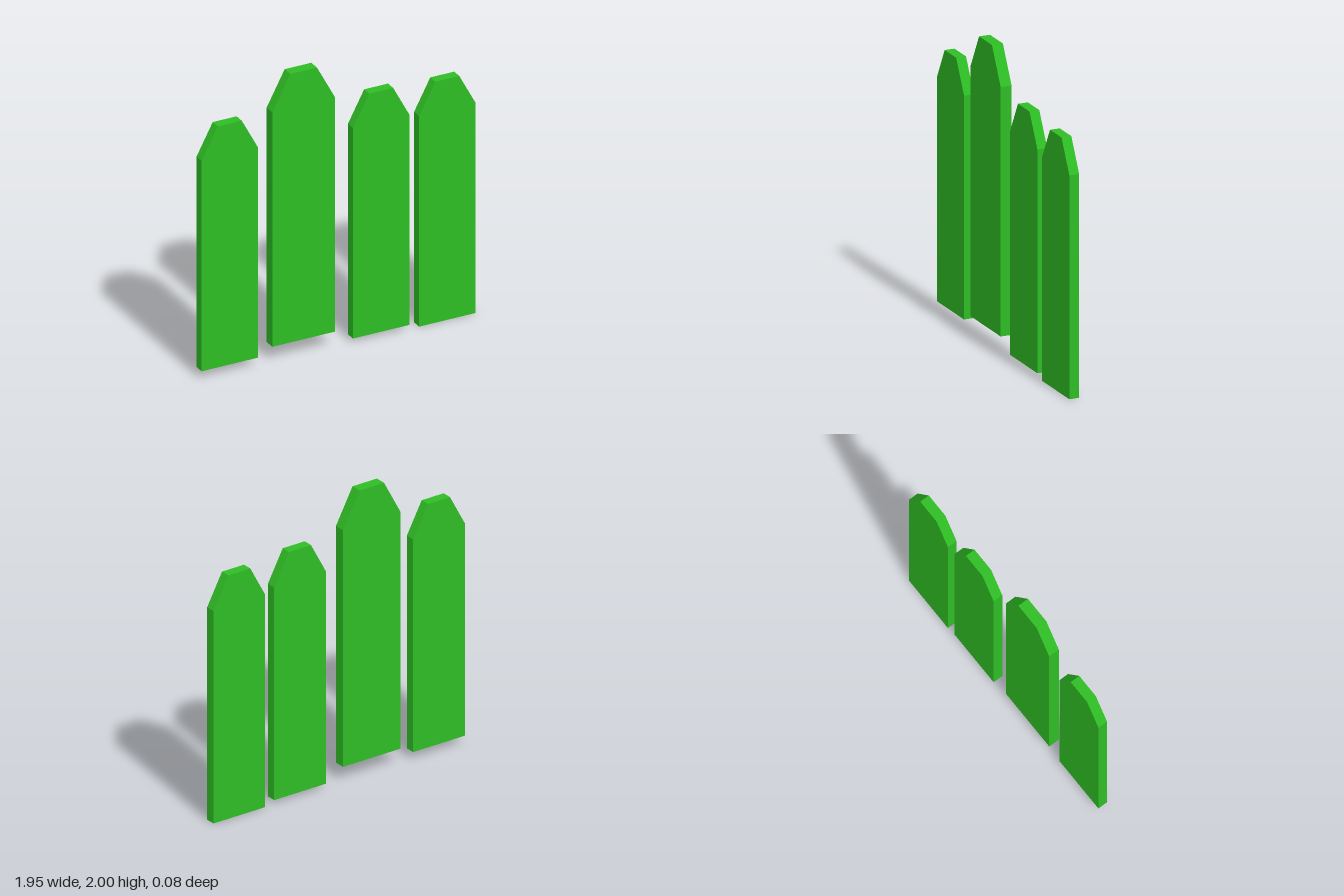
import * as THREE from 'three';

const green = new THREE.MeshStandardMaterial({ color: 0x2ebd24 });
green.name = 'green';

// Picket outline: flat-topped point on a straight board, standing on y = 0
function picketGeometry() {
  const depth = 0.068;
  const shape = new THREE.Shape([
    [-0.2, 0], [0.2, 0], [0.2, 1.481], [0.085, 1.696], [-0.085, 1.696], [-0.2, 1.481],
  ].map(([x, y]) => new THREE.Vector2(x, y)));
  return new THREE.ExtrudeGeometry(shape, { depth, bevelEnabled: false }).translate(0, 0, -depth / 2);
}

export function createModel() {
  const group = new THREE.Group();
  group.name = 'fencePickets';
  const geometry = picketGeometry();

  // [x, base height, scale] of each picket
  const pickets = [
    [-0.774, 0.057, 1],
    [-0.251, 0.111, 1.114],
    [0.302, 0.029, 1],
    [0.772, 0, 1],
  ];
  pickets.forEach(([x, y, scale], i) => {
    const picket = new THREE.Mesh(geometry, green);
    picket.name = `picket${i + 1}`;
    picket.position.set(x, y, 0);
    picket.scale.setScalar(scale);
    group.add(picket);
  });
  return group;
}
